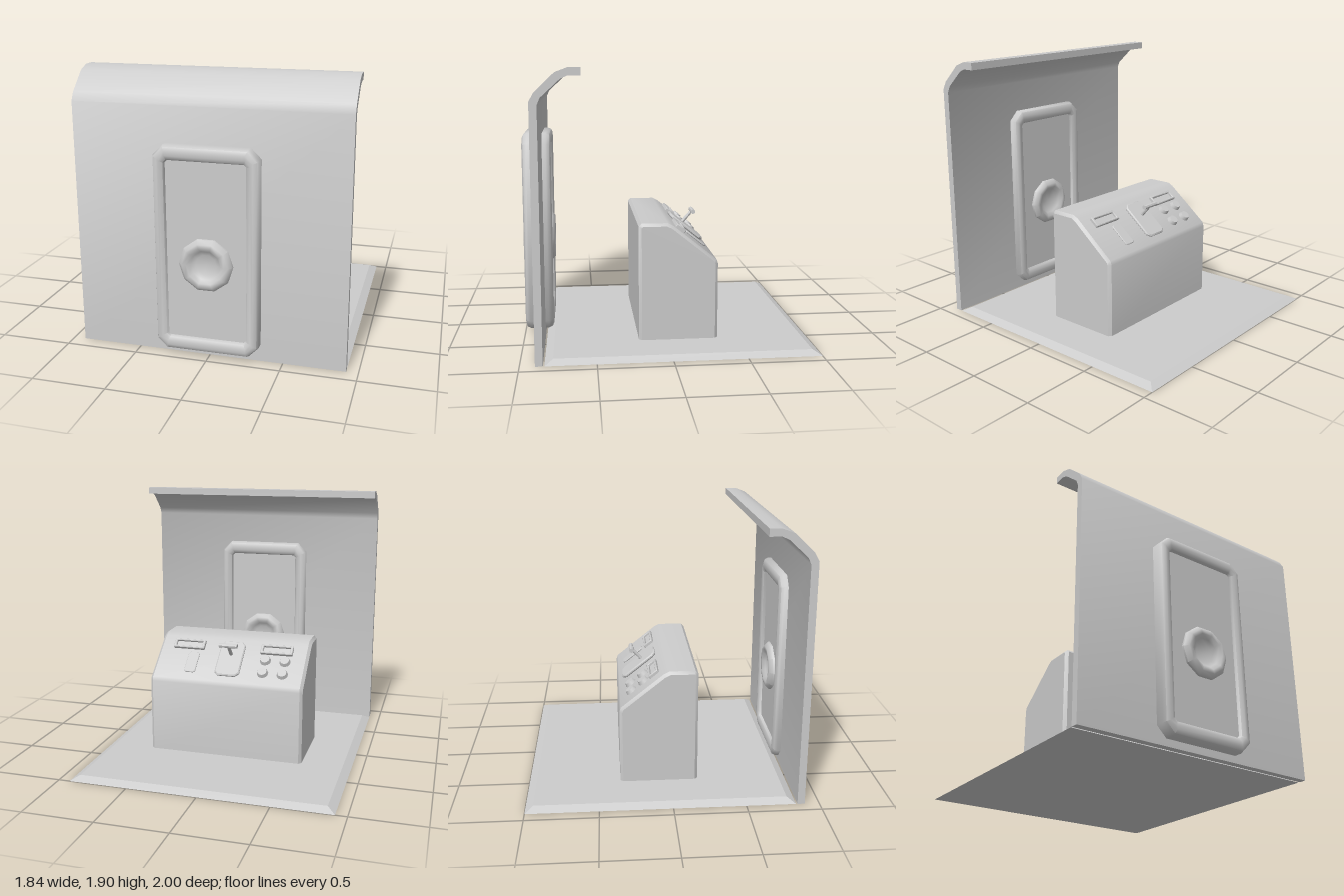
import * as THREE from 'three';
import { toCreasedNormals } from 'three/addons/utils/BufferGeometryUtils.js';

const material = new THREE.MeshStandardMaterial({ color: 0xcccccc, side: THREE.DoubleSide });

function add(parent, name, geometry, x = 0, y = 0, z = 0, crease = 0.7) {
  const mesh = new THREE.Mesh(toCreasedNormals(geometry, crease), material);
  mesh.name = name;
  mesh.position.set(x, y, z);
  parent.add(mesh);
  return mesh;
}

const shapeOf = (points) => new THREE.Shape(points.map(([x, y]) => new THREE.Vector2(x, y)));

// Rectangle with cut corners, centred on the origin
function cutRect(w, h, c) {
  const a = w / 2, b = h / 2;
  return [[a - c, -b], [a, c - b], [a, b - c], [a - c, b], [c - a, b], [-a, b - c], [-a, c - b], [c - a, -b]];
}

// Extrusion centred on its depth, with a chamfer kept inside the outline
function extrude(shape, depth, bevel = 0, segments = 1) {
  const geometry = new THREE.ExtrudeGeometry(shape, {
    depth: depth - 2 * bevel, bevelEnabled: bevel > 0, bevelThickness: bevel,
    bevelSize: bevel, bevelOffset: -bevel, bevelSegments: segments,
  });
  return geometry.translate(0, 0, bevel - depth / 2);
}

// Profile given as [z, y], extruded along x
const alongX = (points, width, bevel) => extrude(shapeOf(points), width, bevel).rotateY(-Math.PI / 2);

// Chamfered plate lying flat on y = 0
const plate = (w, d, h, c, bevel) =>
  extrude(shapeOf(cutRect(w, d, c)), h, bevel).rotateX(-Math.PI / 2).translate(0, h / 2, 0);

function makeFloor(root) {
  const geometry = new THREE.BoxGeometry(1.84, 0.03, 1.84);
  const p = geometry.attributes.position;
  for (let i = 0; i < p.count; i++) {
    if (p.getY(i) > 0) p.setXYZ(i, p.getX(i) * 0.94, p.getY(i), p.getZ(i) * 0.94);
  }
  geometry.computeVertexNormals();
  add(root, 'floor', geometry, 0, 0.015, -0.08, 0.2);
}

function makeWall(root) {
  const profile = [
    [0.9, 0], [0.9, 1.69], [0.87, 1.745], [0.74, 1.87], [0.66, 1.9], [0.58, 1.9],
    [0.58, 1.85], [0.66, 1.85], [0.705, 1.83], [0.83, 1.715], [0.85, 1.67], [0.85, 0],
  ];
  add(root, 'wall', alongX(profile, 1.84, 0), 0, 0, 0, 0.9);
}

function makeDoor(root) {
  const door = new THREE.Group();
  door.name = 'door';
  door.position.set(0, 0.75, 0.89);
  root.add(door);
  // Rounded frame around a sunken panel
  const frame = shapeOf(cutRect(0.7, 1.4, 0.07));
  frame.holes.push(new THREE.Path(cutRect(0.53, 1.2, 0.015).map(([x, y]) => new THREE.Vector2(x, y))));
  add(door, 'doorFrame', extrude(frame, 0.2, 0.035, 2), 0, 0, 0, 0.9);
  add(door, 'doorPanel', new THREE.BoxGeometry(0.58, 1.25, 0.14));
  // Ten-sided dished knob, alike on both faces
  const half = [[0, 0.07], [0.07, 0.075], [0.1, 0.09], [0.125, 0.113], [0.155, 0.113], [0.182, 0.085]];
  const profile = [...half.map(([r, y]) => [r, -y]), ...half.slice().reverse()];
  const knob = new THREE.LatheGeometry(profile.map(([r, y]) => new THREE.Vector2(r, y)), 10, Math.PI / 2);
  add(door, 'doorKnob', knob.rotateX(Math.PI / 2), 0, -0.08, 0, 0.9);
}

function makeConsole(root) {
  const profile = [
    [-0.35, 0.01], [0.2, 0.01], [0.2, 0.83], [0.18, 0.85], [0, 0.85], [-0.04, 0.83], [-0.34, 0.59], [-0.35, 0.56],
  ];
  add(root, 'console', alongX(profile.slice().reverse(), 1.14, 0.02));

  // Everything below lies on the sloping face
  const controls = new THREE.Group();
  controls.name = 'controls';
  controls.position.set(0, 0.718, -0.18);
  controls.rotation.x = -Math.atan(0.8);
  root.add(controls);

  // Four round buttons
  for (const x of [-0.405, -0.26]) {
    for (const z of [-0.1, 0.01]) {
      add(controls, 'button', new THREE.CylinderGeometry(0.033, 0.042, 0.026, 10), x, 0.013, z);
    }
  }
  // Two framed slots
  for (const x of [-0.33, 0.34]) {
    const rim = shapeOf(cutRect(0.24, 0.08, 0.004));
    rim.holes.push(new THREE.Path(cutRect(0.2, 0.046, 0.002).map(([a, b]) => new THREE.Vector2(a, b))));
    add(controls, 'slotFrame', extrude(rim, 0.03, 0.005).rotateX(-Math.PI / 2), x, 0.008, 0.105);
    add(controls, 'slotBottom', new THREE.BoxGeometry(0.21, 0.01, 0.055), x, 0, 0.105);
  }
  add(controls, 'cardPlate', plate(0.085, 0.18, 0.012, 0.012, 0.004), 0.285, 0, -0.055);

  // Lever with a crossbar on its own plate
  add(controls, 'leverPlate', plate(0.185, 0.305, 0.025, 0.028, 0.008), 0, 0, -0.005);
  const lever = new THREE.Group();
  lever.name = 'lever';
  lever.position.set(0, 0.01, 0.03);
  lever.rotation.x = -0.05;
  controls.add(lever);
  add(lever, 'leverStem', new THREE.CylinderGeometry(0.012, 0.014, 0.12, 8), 0, 0.06, 0);
  add(lever, 'leverHandle', new THREE.CylinderGeometry(0.017, 0.017, 0.135, 8).rotateZ(Math.PI / 2), 0, 0.125, 0);
}

export function createModel() {
  const root = new THREE.Group();
  root.name = 'controlRoom';
  makeFloor(root);
  makeWall(root);
  makeDoor(root);
  makeConsole(root);
  return root;
}
